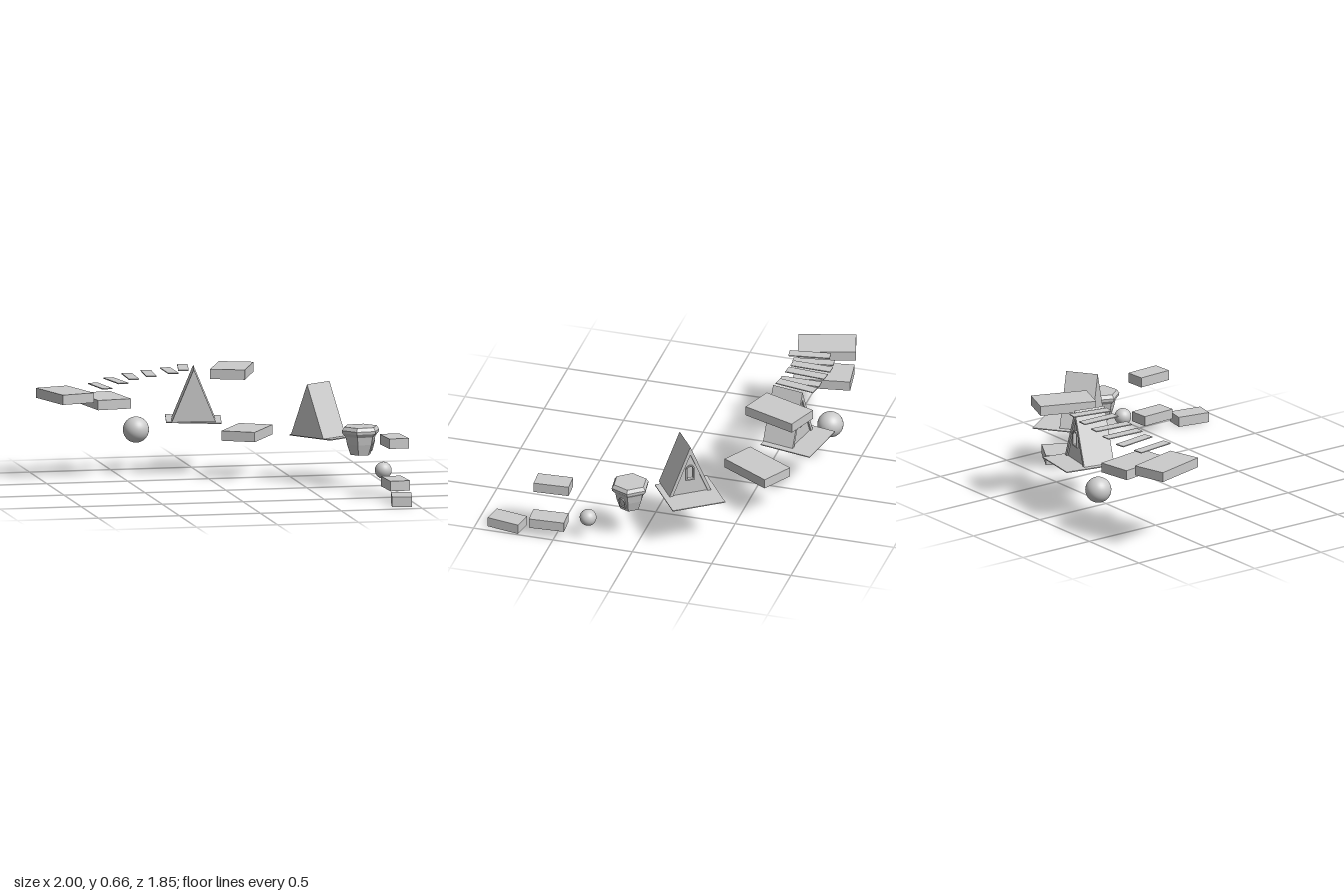
import * as THREE from 'three';

const mat = new THREE.MeshStandardMaterial({ color: 0xcccccc, flatShading: true });
const smooth = new THREE.MeshStandardMaterial({ color: 0xcccccc });
const twoSided = new THREE.MeshStandardMaterial({ color: 0xcccccc, flatShading: true, side: THREE.DoubleSide });

function add(parent, name, geometry, [x, y, z], turn = 0, material = mat) {
  const mesh = new THREE.Mesh(geometry, material);
  mesh.name = name;
  mesh.position.set(x, y, z);
  mesh.rotation.y = turn;
  parent.add(mesh);
  return mesh;
}

// Outline with straight jambs and a round top
function arch(Path, halfWidth, y0, y1) {
  const p = new Path();
  p.moveTo(-halfWidth, y0);
  p.lineTo(halfWidth, y0);
  p.lineTo(halfWidth, y1 - halfWidth);
  p.absarc(0, y1 - halfWidth, halfWidth, 0, Math.PI, false);
  p.lineTo(-halfWidth, y0);
  return p;
}

function triangle(halfWidth, height) {
  return new THREE.Shape([
    new THREE.Vector2(-halfWidth, 0),
    new THREE.Vector2(halfWidth, 0),
    new THREE.Vector2(0, height),
  ]);
}

const extrude = (shape, depth) =>
  new THREE.ExtrudeGeometry(shape, { depth, bevelEnabled: false, curveSegments: 6 });

// Raised arched frame
function archFrame(halfWidth, y0, y1, border, depth) {
  const s = arch(THREE.Shape, halfWidth + border, y0 - border, y1 + border);
  s.holes.push(arch(THREE.Path, halfWidth, y0, y1));
  return extrude(s, depth);
}

// A-frame hut on a thin plate; its windowed gable faces local -z
function hut(name, [x, y, z], turn, plateOffset, plateTilt) {
  const g = new THREE.Group();
  g.name = name;
  const W = 0.133, H = 0.322, L = 0.2, t = 0.022;

  // Two sloping roof slabs as one chevron
  const roof = new THREE.Shape();
  [[-W, 0], [-W + t, 0], [0, H - t * H / W], [W - t, 0], [W, 0], [0, H]].forEach(([px, py], i) =>
    i ? roof.lineTo(px, py) : roof.moveTo(px, py));
  add(g, 'roof', extrude(roof, L), [0, 0, -L / 2]);

  // Gables, the front one pierced and slightly recessed
  const w = W - t, h = H - t * H / W;
  add(g, 'backGable', extrude(triangle(w, h), 0.015), [0, 0, L / 2 - 0.015]);
  const front = triangle(w, h);
  front.holes.push(arch(THREE.Path, 0.02, 0.1, 0.185));
  add(g, 'frontGable', extrude(front, 0.015), [0, 0, -L / 2 + 0.01]);
  add(g, 'windowFrame', archFrame(0.02, 0.1, 0.185, 0.008, 0.014), [0, 0, -L / 2]);

  // Ground plate reaching out in front of the gable
  const plate = add(g, 'plate', new THREE.BoxGeometry(0.335, 0.006, 0.335), [0, -0.005, -plateOffset]);
  plate.rotation.z = plateTilt;

  g.position.set(x, y, z);
  g.rotation.y = turn;
  return g;
}

// Hexagonal pod with a flared rim and a small arched opening frame
function pod() {
  const g = new THREE.Group();
  g.name = 'hexagonalPod';
  const profile = [[0, 0], [0.064, 0], [0.086, 0.065], [0.096, 0.112], [0.117, 0.134], [0.119, 0.15], [0.104, 0.172], [0, 0.172]]
    .map(([r, y]) => new THREE.Vector2(r, y));
  add(g, 'podBody', new THREE.LatheGeometry(profile, 6), [0, 0, 0], 0, twoSided);
  const side = new THREE.Group();
  side.name = 'podOpening';
  side.rotation.y = Math.PI / 6;
  const frame = add(side, 'openingFrame', archFrame(0.017, -0.03, 0.03, 0.006, 0.007), [0, 0.06, 0.072]);
  frame.rotation.x = 0.25;
  g.add(side);
  g.position.set(0.817, 0.205, 0.068);
  g.rotation.y = THREE.MathUtils.degToRad(37.5);
  return g;
}

export function createModel() {
  const model = new THREE.Group();
  model.name = 'floatingPath';

  // Small steps: x, y, z, length, turn
  [
    [0.912, 0.031, 0.813, 0.205, -0.18],
    [0.932, 0.091, 0.547, 0.218, 0.055],
    [0.93, 0.345, 0.518, 0.218, 0.055],
  ].forEach(([x, y, z, l, a], i) =>
    add(model, `smallStep${i + 1}`, new THREE.BoxGeometry(0.122, 0.061, l), [x, y, z], a));

  // Large platforms: x, y, z, turn
  [
    [-0.85, 0.51, -0.679, 0.275],
    [-0.596, 0.462, -0.733, 0.16],
    [0.182, 0.63, -0.684, -0.36],
    [0.25, 0.265, -0.566, -0.52],
  ].forEach(([x, y, z, a], i) =>
    add(model, `platform${i + 1}`, new THREE.BoxGeometry(0.212, 0.06, 0.35), [x, y, z], a));

  // Thin bridge planks: x, y, z, turn
  [
    [-0.643, 0.567, -0.631, 0.15],
    [-0.533, 0.588, -0.687, 0.16],
    [-0.44, 0.609, -0.704, -0.03],
    [-0.328, 0.624, -0.704, -0.08],
    [-0.2, 0.637, -0.704, 0],
    [-0.116, 0.655, -0.704, -0.18],
  ].forEach(([x, y, z, a], i) =>
    add(model, `plank${i + 1}`, new THREE.BoxGeometry(0.063, 0.006, 0.252), [x, y, z], a));

  // Floating balls
  add(model, 'smallBall', new THREE.SphereGeometry(0.051, 24, 16), [0.907, 0.139, 0.306], 0, smooth);
  add(model, 'largeBall', new THREE.SphereGeometry(0.079, 32, 20), [-0.377, 0.264, -0.84], 0, smooth);

  model.add(pod());
  model.add(hut('upperHut', [-0.058, 0.338, -0.667], -0.19, 0.067, -0.02));
  model.add(hut('lowerHut', [0.617, 0.286, -0.219], -0.95, 0.092, 0));
  return model;
}
